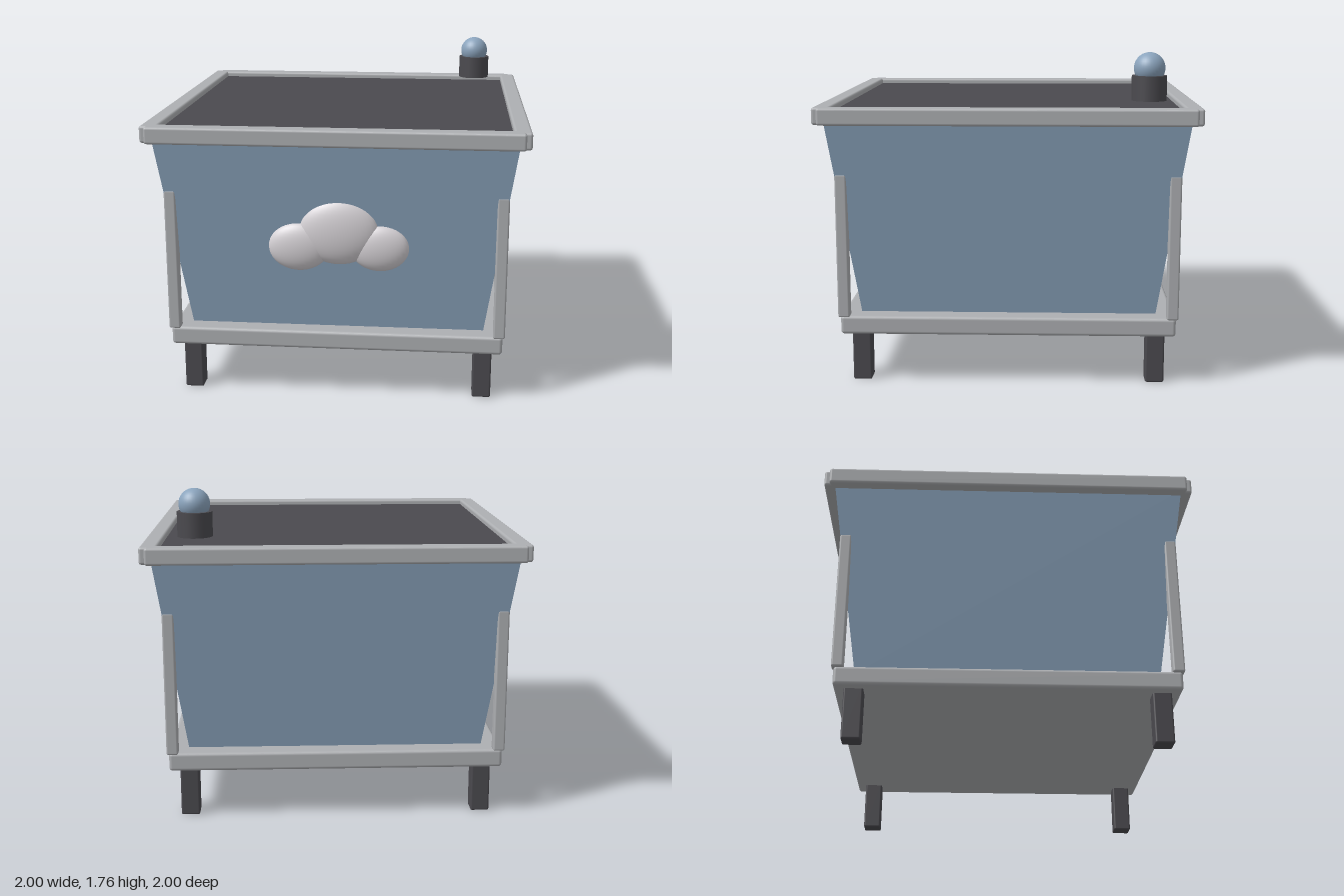
import * as THREE from 'three';
import { RoundedBoxGeometry } from 'three/addons/geometries/RoundedBoxGeometry.js';

const paint = (name, color) => {
  const m = new THREE.MeshStandardMaterial({ color });
  m.name = name;
  return m;
};

export function createModel() {
  const blue = paint('blue', 0x8ba4bd);
  const grey = paint('grey', 0xadafb2);
  const dark = paint('charcoal', 0x4b4a4f);
  const white = paint('cloud white', 0xd6d2d6);

  const model = new THREE.Group();
  model.name = 'planterBox';

  const add = (name, geometry, material, x, y, z) => {
    const mesh = new THREE.Mesh(geometry, material);
    mesh.name = name;
    mesh.position.set(x, y, z);
    model.add(mesh);
    return mesh;
  };
  const rounded = (w, h, d, r) => new RoundedBoxGeometry(w, h, d, 3, r);

  // Tapered tub: a box widened towards the top
  const bottom = 0.37, top = 1.43;
  const tub = new THREE.BoxGeometry(2, top - bottom, 2);
  const p = tub.attributes.position;
  for (let i = 0; i < p.count; i++) {
    const half = p.getY(i) > 0 ? 0.943 : 0.79;
    p.setX(i, Math.sign(p.getX(i)) * half);
    p.setZ(i, Math.sign(p.getZ(i)) * half);
  }
  tub.computeVertexNormals();
  add('tub', tub, blue, 0, (bottom + top) / 2, 0);

  // Base slab and the dark filling inside the rim
  add('base', rounded(1.78, 0.1, 1.78, 0.018), grey, 0, 0.32, 0);
  add('topPanel', new THREE.BoxGeometry(1.84, 0.05, 1.84), dark, 0, 1.435, 0);

  // Rim bars, overlapping at the corners
  for (const s of [-1, 1]) {
    add('rimBar', rounded(1.935, 0.09, 0.09, 0.014), grey, 0, 1.445, s * 0.953);
    add('rimSideBar', rounded(0.09, 0.09, 1.935, 0.014), grey, s * 0.953, 1.445, 0);
  }

  // Corner posts and feet
  for (const sx of [-1, 1]) {
    for (const sz of [-1, 1]) {
      add('cornerPost', rounded(0.062, 0.77, 0.062, 0.01), grey, sx * 0.87, 0.75, sz * 0.87);
      add('foot', rounded(0.1, 0.28, 0.1, 0.01), dark, sx * 0.787, 0.14, sz * 0.787);
    }
  }

  // Cloud emblem on the front: flattened spheres
  const puffs = [
    [0.02, 0.925, 0.21, 0.177, 0.068],
    [-0.19, 0.84, 0.162, 0.13, 0.058],
    [0.235, 0.84, 0.154, 0.124, 0.055],
  ];
  for (const [x, y, rx, ry, rz] of puffs) {
    add('cloudPuff', new THREE.SphereGeometry(1, 32, 20), white, x, y, 0.868).scale.set(rx, ry, rz);
  }

  // Knob hovering just above the back corner
  add('knobBase', new THREE.CylinderGeometry(0.092, 0.092, 0.13, 32), dark, 0.73, 1.575, -0.735);
  add('knobBall', new THREE.SphereGeometry(0.082, 32, 20), blue, 0.73, 1.678, -0.735);

  return model;
}
